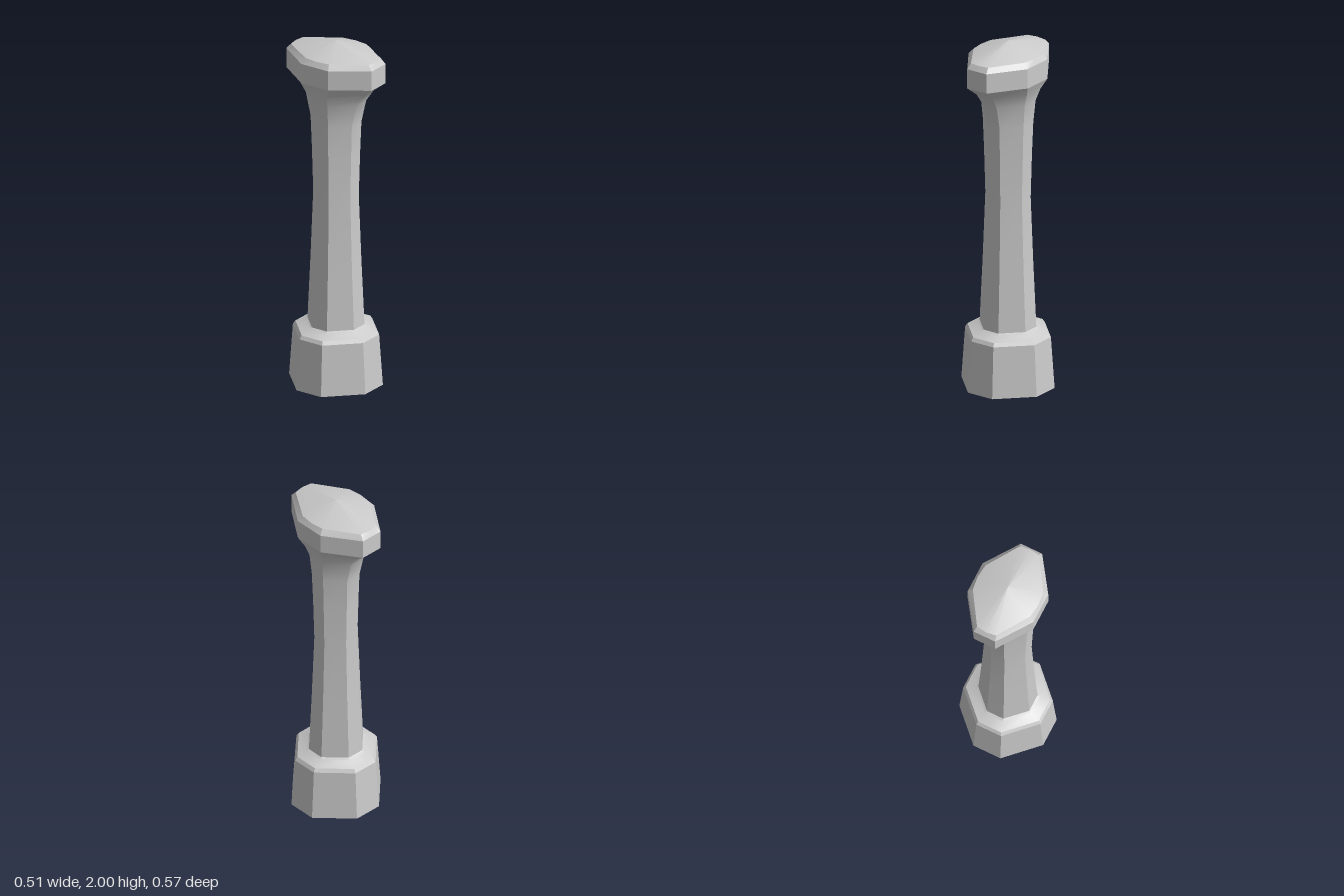
import * as THREE from 'three';
import { toCreasedNormals } from 'three/addons/utils/BufferGeometryUtils.js';

const material = new THREE.MeshStandardMaterial({ color: 0xcccccc, side: THREE.DoubleSide });

// Eight-cornered section with a midpoint on each of the four axis-facing sides.
// ax/az: reach along x/z, bx/bz: half widths of the x/z sides, mid: bulge of the midpoints.
function ring([y, ax, bx, az, bz, mid = 0]) {
  return [
    [ax + mid, 0], [ax, bx], [bz, az], [0, az + mid], [-bz, az], [-ax, bx],
    [-ax - mid, 0], [-ax, -bx], [-bz, -az], [0, -az - mid], [bz, -az], [ax, -bx],
  ].map(([x, z]) => [x, y, z]);
}

// Skin a stack of sections, from the bottom up, optionally closed by an apex.
function loft(name, sections, apexY) {
  const rings = sections.map(ring);
  const pos = [];
  for (let k = 0; k < rings.length; k++) {
    const low = rings[k], high = rings[k + 1], n = low.length;
    for (let i = 0; i < n; i++) {
      const j = (i + 1) % n;
      if (high) pos.push(...low[i], ...high[i], ...low[j], ...low[j], ...high[i], ...high[j]);
      else if (apexY !== undefined) pos.push(...low[i], 0, apexY, 0, ...low[j]);
    }
  }
  const geometry = new THREE.BufferGeometry();
  geometry.setAttribute('position', new THREE.Float32BufferAttribute(pos, 3));
  const mesh = new THREE.Mesh(toCreasedNormals(geometry, 0.4), material);
  mesh.name = name;
  return mesh;
}

export function createModel() {
  const group = new THREE.Group();
  group.name = 'post';

  // Tapered foot, open underneath, with a stepped shoulder
  const foot = loft('foot', [
    [0, 0.255, 0.082, 0.255, 0.082],
    [0.295, 0.235, 0.075, 0.235, 0.075],
    [0.315, 0.222, 0.07, 0.222, 0.07],
    [0.337, 0.168, 0.055, 0.168, 0.055],
    [0.345, 0.155, 0.05, 0.155, 0.05],
  ]);

  // Waisted shaft flaring out under the cap, more along z than x
  const shaft = loft('shaft', [
    [0.345, 0.155, 0.05, 0.155, 0.05],
    [0.72, 0.138, 0.045, 0.138, 0.045],
    [1.1, 0.124, 0.04, 0.124, 0.04],
    [1.35, 0.131, 0.042, 0.131, 0.042],
    [1.54, 0.138, 0.045, 0.138, 0.045],
    [1.67, 0.15, 0.05, 0.168, 0.047],
    [1.74, 0.174, 0.062, 0.215, 0.053],
    [1.795, 0.2, 0.09, 0.285, 0.065],
  ]);

  // Elongated cap: upright rim, bevel and a low faceted peak
  const cap = loft('cap', [
    [1.795, 0.2, 0.09, 0.285, 0.065],
    [1.908, 0.2, 0.09, 0.285, 0.065],
    [1.937, 0.175, 0.078, 0.26, 0.058, 0.009],
  ], 2);

  group.add(foot, shaft, cap);
  return group;
}
